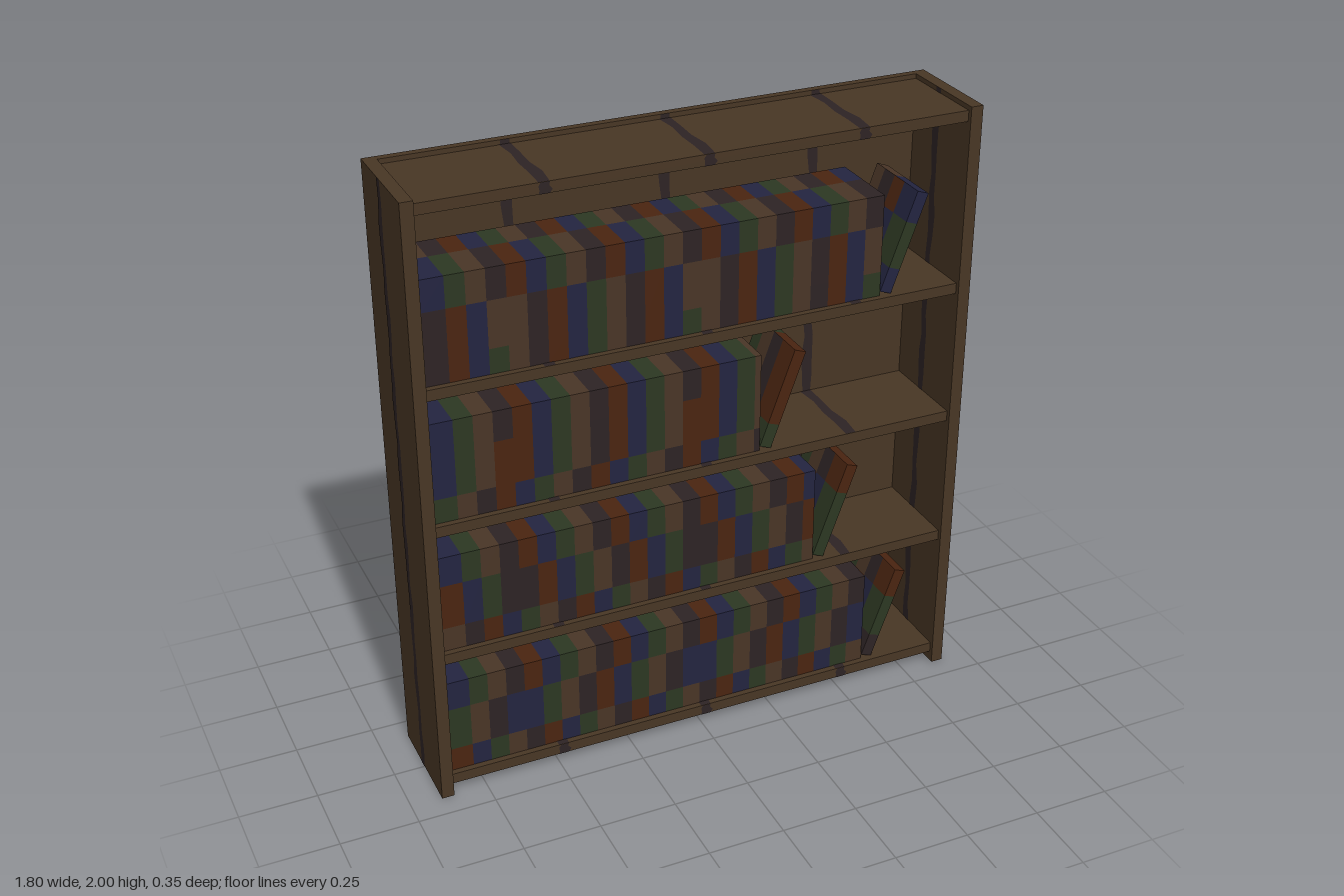
import * as THREE from 'three';
import { mergeGeometries } from 'three/addons/utils/BufferGeometryUtils.js';

const mat = (name, color) => {
  const m = new THREE.MeshStandardMaterial({ color });
  m.name = name;
  return m;
};

export function createModel() {
  const model = new THREE.Group();
  model.name = 'bookcase';
  const wood = mat('wood', 0x483624);
  const grain = mat('darkGrain', 0x2d2324);
  const covers = [
    mat('redCover', 0x4a2410), mat('blueCover', 0x232440), mat('greenCover', 0x2c3722),
    mat('brownCover', 0x493526), grain,
  ];

  const add = (parent, name, geometry, material, x = 0, y = 0, z = 0) => {
    const mesh = new THREE.Mesh(geometry, material);
    mesh.name = name;
    mesh.position.set(x, y, z);
    parent.add(mesh);
    return mesh;
  };

  // Wavy flat strip of dark grain, running along y and facing +z
  const grainStrip = (length, width = 0.033) => {
    const n = Math.max(3, Math.round(length / 0.07));
    const left = [], right = [];
    for (let i = 0; i <= n; i++) {
      const y = -length / 2 + (length * i) / n;
      const sway = 0.004 * Math.sin(i * 2.3) + 0.003 * Math.sin(i * 0.9);
      const half = width / 2 + 0.003 * Math.sin(i * 1.7);
      left.push(new THREE.Vector2(sway - half, y));
      right.push(new THREE.Vector2(sway + half, y));
    }
    return new THREE.ShapeGeometry(new THREE.Shape([...left, ...right.reverse()]));
  };
  const grainX = [-0.485, 0.013, 0.51];
  const E = 0.001;

  // Side panels with grain inside and out
  for (const s of [-1, 1]) {
    const name = s > 0 ? 'left' : 'right';
    add(model, name + 'Side', new THREE.BoxGeometry(0.04, 2, 0.35), wood, s * 0.88, 1, 0);
    for (const face of [-1, 1]) {
      const strip = add(model, name + 'SideGrain', grainStrip(2, 0.03), grain,
        s * 0.88 + face * (0.02 + E), 1, -0.013);
      strip.rotation.y = face * Math.PI / 2;
    }
  }

  // Back panel
  add(model, 'backPanel', new THREE.BoxGeometry(1.72, 2, 0.025), wood, 0, 1, -0.1625);
  for (const x of grainX) {
    add(model, 'backGrainInner', grainStrip(2), grain, x, 1, -0.15 + E);
    add(model, 'backGrainOuter', grainStrip(2), grain, x, 1, -0.175 - E).rotation.y = Math.PI;
  }

  // Shelves, lowest to highest
  [0.035, 0.487, 0.937, 1.387, 1.95].forEach((y, i) => {
    const h = 0.035;
    add(model, 'shelf', new THREE.BoxGeometry(1.72, h, 0.31), wood, 0, y + h / 2, 0.005);
    for (const x of grainX) {
      add(model, 'shelfGrainTop', grainStrip(0.31), grain, x, y + h + E, 0.005).rotation.x = -Math.PI / 2;
      add(model, 'shelfGrainBottom', grainStrip(0.31), grain, x, y - E, 0.005).rotation.x = Math.PI / 2;
      if (i === 0 || i === 4) add(model, 'shelfGrainFront', grainStrip(h), grain, x, y + h / 2, 0.16 + E);
    }
  });

  // Cuts between a and b at every multiple of step
  const cuts = (a, b, step) => {
    const out = [a];
    for (let k = Math.floor(a / step) + 1; k * step < b - 0.005; k++) {
      if (k * step - a > 0.015) out.push(k * step);
    }
    return [...out, b];
  };

  // Block of books: patches of cover colour laid over all six faces
  const bandCuts = [0, 0.08, 0.23, 0.33];
  const zCuts = [-0.11, -0.06, 0, 0.06, 0.14];
  const books = (name, x0, x1, bandShift) => {
    const group = new THREE.Group();
    group.name = name;
    const lists = covers.map(() => []);
    const xs = cuts(x0, x1, 0.06);
    const patch = (c, w, h, rx, ry, x, y, z) => {
      const g = new THREE.PlaneGeometry(w, h);
      g.rotateX(rx).rotateY(ry).translate(x, y, z);
      lists[((c % 5) + 5) % 5].push(g);
    };
    const eachCell = (us, vs, fn) => {
      for (let i = 0; i + 1 < us.length; i++) {
        for (let j = 0; j + 1 < vs.length; j++) {
          fn(us[i + 1] - us[i], vs[j + 1] - vs[j], (us[i] + us[i + 1]) / 2, (vs[j] + vs[j + 1]) / 2, j, i);
        }
      }
    };
    const column = (x) => Math.floor((x + 0.6) / 0.06 + 0.01);
    // The middle band repeats one colour across each seam of ten columns
    const cover = (x, band) => {
      const c = column(x);
      const seam = band === 1 && ((c % 10) + 10) % 10 === 9;
      return c + bandShift[band] + (seam ? 1 : 0);
    };
    eachCell(xs, bandCuts, (w, h, x, y, band) => {
      patch(cover(x, band), w, h, 0, 0, x, y, 0.14);
      patch(cover(x, band), w, h, 0, Math.PI, x, y, -0.11);
    });
    eachCell(xs, zCuts, (w, d, x, z, layer) => {
      const c = column(x) + bandShift[2] + (layer < 2 ? 2 : 0);
      patch(c, w, d, -Math.PI / 2, 0, x, 0.33, z);
      patch(c, w, d, Math.PI / 2, 0, x, 0, z);
    });
    eachCell(zCuts, bandCuts, (d, h, z, y, band, layer) => {
      const c = layer + bandShift[band] + 2;
      patch(c, d, h, 0, Math.PI / 2, x1, y, z);
      patch(c, d, h, 0, -Math.PI / 2, x0, y, z);
    });
    lists.forEach((list, i) => {
      if (list.length) add(group, covers[i].name + 's', mergeGeometries(list), covers[i]);
    });
    model.add(group);
    return group;
  };

  // Four rows, each ending in one leaning book: base, right end, colour shifts
  const rows = [
    { y: 0.07, end: 0.6, shift: [4, 1, 0], lean: [4, 2, 0] },
    { y: 0.522, end: 0.4, shift: [2, 4, 0], lean: [2, 2, 0] },
    { y: 0.972, end: 0.2, shift: [1, 0, 0], lean: [2, 0, 0] },
    { y: 1.422, end: 0.6, shift: [3, 3, 0], lean: [1, 2, 1] },
  ];
  const tilt = 20 * Math.PI / 180;
  for (const { y, end, shift, lean } of rows) {
    books('bookRow', -0.85, end, shift).position.y = y;
    const book = books('leaningBook', 0, 0.04, lean);
    book.position.set(end + 0.001, y + 0.04 * Math.sin(tilt), 0);
    book.rotation.z = -tilt;
  }
  return model;
}
